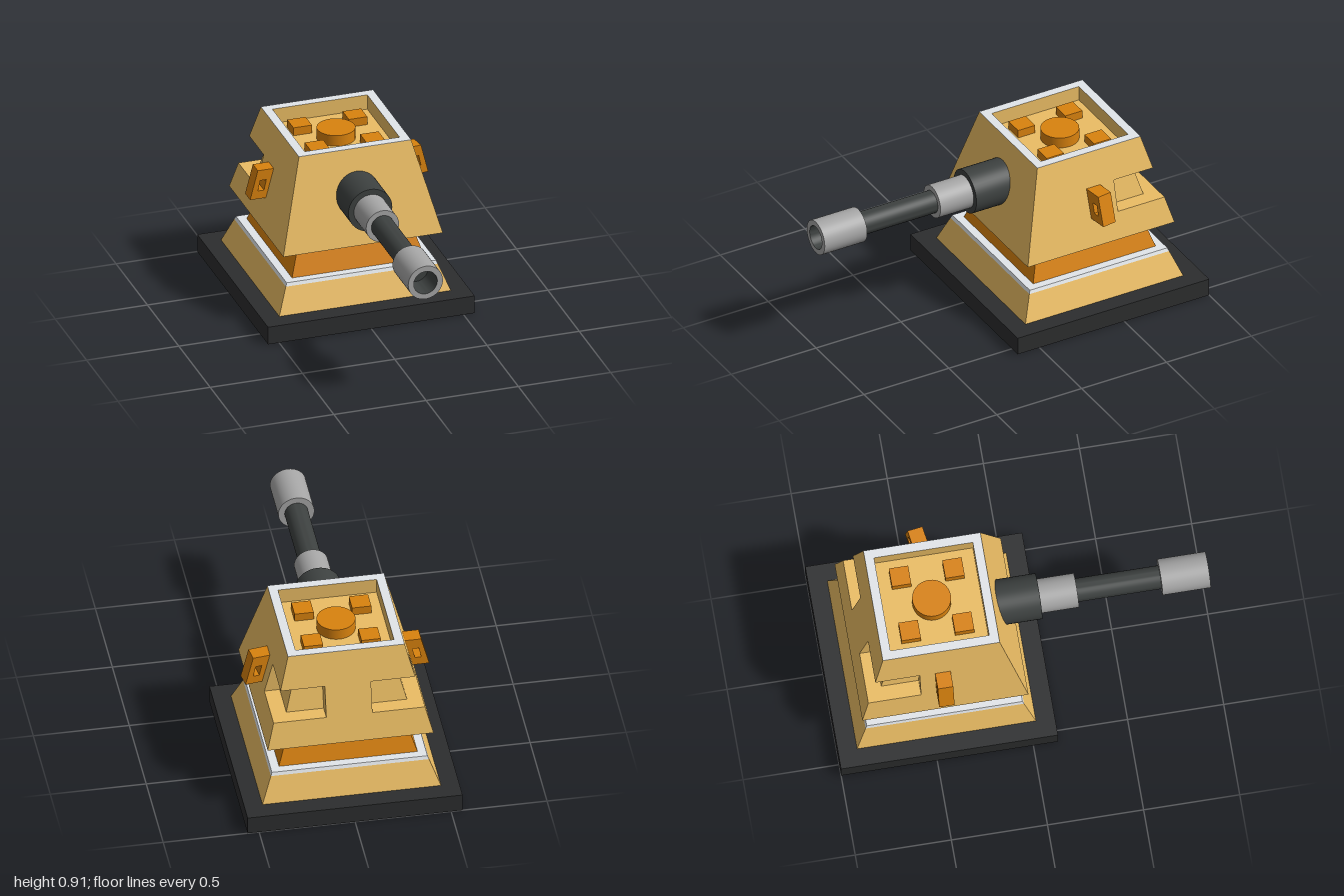
import * as THREE from 'three';
import { toCreasedNormals } from 'three/addons/utils/BufferGeometryUtils.js';

const YELLOW = 0xebbd64, ORANGE = 0xd9820e, WHITE = 0xe2e6ea;
const BLACK = 0x2c2d2e, DARK = 0x3d4140, GREY = 0xa6a6a6;
const CENTRE_Z = -0.436;

function add(parent, name, geometry, color) {
  const mesh = new THREE.Mesh(geometry, new THREE.MeshStandardMaterial({ color }));
  mesh.name = name;
  parent.add(mesh);
  return mesh;
}

// Joins horizontal outlines [y, points] into a flat-faced solid or band.
function loft(sections, capBottom = true, capTop = true) {
  const pos = [];
  const put = (y, p) => pos.push(p[0], y, p[1]);
  for (let s = 0; s < sections.length - 1; s++) {
    const [y0, a] = sections[s], [y1, b] = sections[s + 1];
    for (let i = 0; i < a.length; i++) {
      const j = (i + 1) % a.length;
      put(y0, a[i]); put(y0, a[j]); put(y1, b[j]);
      put(y0, a[i]); put(y1, b[j]); put(y1, b[i]);
    }
  }
  const cap = ([y, pts], flip) => {
    const flat = pts.map(([x, z]) => new THREE.Vector2(x, -z));
    for (const f of THREE.ShapeUtils.triangulateShape(flat, [])) {
      for (const k of flip ? [f[0], f[2], f[1]] : f) put(y, pts[k]);
    }
  };
  if (capBottom) cap(sections[0], true);
  if (capTop) cap(sections[sections.length - 1], false);
  const g = new THREE.BufferGeometry();
  g.setAttribute('position', new THREE.Float32BufferAttribute(pos, 3));
  g.computeVertexNormals();
  return g;
}

const square = (h) => [[h, h], [h, -h], [-h, -h], [-h, h]];

// Square outline with both rear corners cut back.
function notched(h) {
  const n = h - 0.08, e = 0.12;
  return [[h, h], [h, -e], [n, -e], [n, -n], [e, -n], [e, -h],
    [-e, -h], [-e, -n], [-n, -n], [-n, -e], [-h, -e], [-h, h]];
}

// Half width of the sloping turret at height y.
const turretHalf = (y) => THREE.MathUtils.mapLinear(y, 0.418, 0.91, 0.432, 0.304);

// Turned part along z from [radius, z] points.
function turned(points) {
  const g = new THREE.LatheGeometry(points.map(([r, z]) => new THREE.Vector2(r, z)), 40);
  return toCreasedNormals(g.rotateX(Math.PI / 2), 0.6);
}
const rod = (r, z0, z1) => turned([[0, z0], [r, z0], [r, z1], [0, z1]]);

function createHandle() {
  const shape = new THREE.Shape([[0.32, 0.567], [0.485, 0.567], [0.443, 0.728], [0.32, 0.728]]
    .map((p) => new THREE.Vector2(...p)));
  shape.holes.push(new THREE.Path([[0.41, 0.612], [0.397, 0.67], [0.43, 0.67], [0.443, 0.612]]
    .map((p) => new THREE.Vector2(...p))));
  return new THREE.ExtrudeGeometry(shape, { depth: 0.08, bevelEnabled: false }).translate(0, 0, -0.04);
}

export function createModel() {
  const model = new THREE.Group();
  model.name = 'turret';
  const body = new THREE.Group();
  body.name = 'body';
  body.position.z = CENTRE_Z;
  model.add(body);

  // Base slab, sloping plinth and neck
  add(body, 'baseSlab', new THREE.BoxGeometry(1.12, 0.098, 1.128).translate(0, 0.049, 0), BLACK);
  add(body, 'plinth', loft([[0.098, square(0.465)], [0.235, square(0.412)]]), YELLOW);
  add(body, 'plinthTrim', loft([[0.235, square(0.412)], [0.253, square(0.405)]]), WHITE);
  add(body, 'neck', loft([[0.253, square(0.361)], [0.418, square(0.308)]]), ORANGE);

  // Turret shell in three layers, the middle one notched at the rear corners
  const turret = new THREE.Group();
  turret.name = 'turretShell';
  body.add(turret);
  const layer = (outline, y) => [y, outline(turretHalf(y))];
  add(turret, 'lowerShell', loft([layer(square, 0.418), layer(square, 0.562)]), YELLOW);
  add(turret, 'notchedShell', loft([layer(notched, 0.562), layer(notched, 0.73)], false, false), YELLOW);
  add(turret, 'upperShell', loft([layer(square, 0.73), layer(square, 0.91)], true, false), YELLOW);

  // Roof rim and recessed well
  add(turret, 'roofRim', loft([[0.91, square(0.304)], [0.912, square(0.304)], [0.912, square(0.257)]], false, false), WHITE);
  add(turret, 'roofWell', loft([[0.912, square(0.257)], [0.83, square(0.257)]], false, true), YELLOW);

  // Roof fittings
  const hatch = new THREE.CylinderGeometry(0.1, 0.1, 0.06, 32).translate(0, 0.86, 0);
  add(turret, 'roofHatch', hatch, ORANGE);
  for (const x of [-1, 1]) {
    for (const z of [-1, 1]) {
      const block = add(turret, 'roofBlock', new THREE.BoxGeometry(0.1, 0.045, 0.1), ORANGE);
      block.position.set(0.15 * x, 0.8525, 0.139 * z);
    }
  }

  // Side handles, one slightly turned
  const leftHandle = add(body, 'leftHandle', createHandle(), ORANGE);
  leftHandle.rotation.y = 0.14;
  leftHandle.position.set(0.007, 0, 0.05);
  const rightHandle = add(body, 'rightHandle', createHandle(), ORANGE);
  rightHandle.rotation.y = Math.PI;
  rightHandle.position.x = 0.006;

  // Gun
  const gun = new THREE.Group();
  gun.name = 'gun';
  gun.position.set(-0.003, 0.676, 0);
  model.add(gun);
  add(gun, 'gunMount', rod(0.119, -0.2, 0.12), DARK);
  add(gun, 'gunCollar', rod(0.089, 0.1, 0.315), GREY);
  add(gun, 'gunBarrel', rod(0.061, 0.3, 0.8), DARK);
  add(gun, 'muzzle', turned([[0, 0.75], [0.094, 0.75], [0.094, 1], [0.064, 1]]), GREY);
  add(gun, 'muzzleBore', turned([[0.064, 1], [0.064, 0.85], [0, 0.85]]), DARK);

  return model;
}
